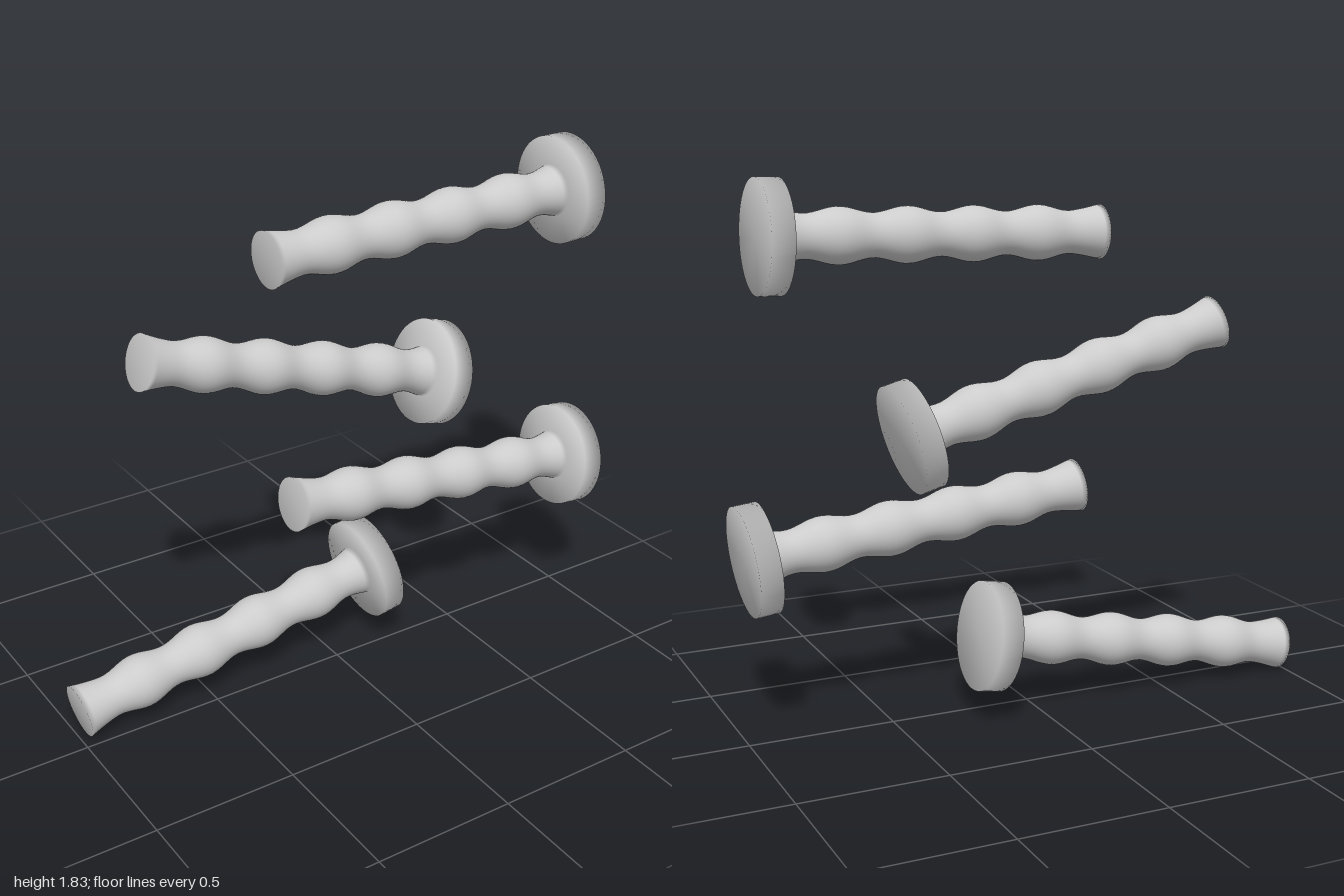
import * as THREE from 'three';

const LENGTH = 1.215, FLANGE_START = 1.138, FLANGE_RADIUS = 0.187, PITCH = 0.235;

// Wavy grip radius: flared free end, then evenly spaced swells
function gripRadius(s) {
  if (s < PITCH / 2) return 0.073 + 0.021 * Math.pow(1 - s / (PITCH / 2), 1.4);
  return 0.0835 + 0.0105 * Math.cos((2 * Math.PI * s) / PITCH);
}

// One turned profile: closed end, wavy shaft, round flange
function gripGeometry() {
  const points = [new THREE.Vector2(0, 0)];
  const steps = 60;
  for (let i = 0; i <= steps; i++) {
    const s = (FLANGE_START * i) / steps;
    points.push(new THREE.Vector2(gripRadius(s), s));
  }
  points.push(
    new THREE.Vector2(FLANGE_RADIUS, FLANGE_START),
    new THREE.Vector2(FLANGE_RADIUS, LENGTH),
    new THREE.Vector2(0, LENGTH)
  );
  return new THREE.LatheGeometry(points, 48);
}

export function createModel() {
  const model = new THREE.Group();
  model.name = 'handleGrips';
  const material = new THREE.MeshStandardMaterial({ color: 0xcccccc });
  const geometry = gripGeometry();

  // Free end and flange end of each grip's axis, and its depth
  const grips = [
    ['topGrip', [-0.313, 1.632], [0.902, 1.655], 0.08],
    ['upperMiddleGrip', [-0.687, 1.318], [0.484, 0.997], -0.08],
    ['lowerMiddleGrip', [-0.23, 0.746], [0.976, 0.607], 0.08],
    ['bottomGrip', [-0.985, 0.103], [0.214, 0.299], -0.08],
  ];
  for (const [name, a, b, z] of grips) {
    const grip = new THREE.Mesh(geometry, material);
    grip.name = name;
    grip.position.set(a[0], a[1], z);
    grip.rotation.z = Math.atan2(b[1] - a[1], b[0] - a[0]) - Math.PI / 2;
    model.add(grip);
  }
  return model;
}
